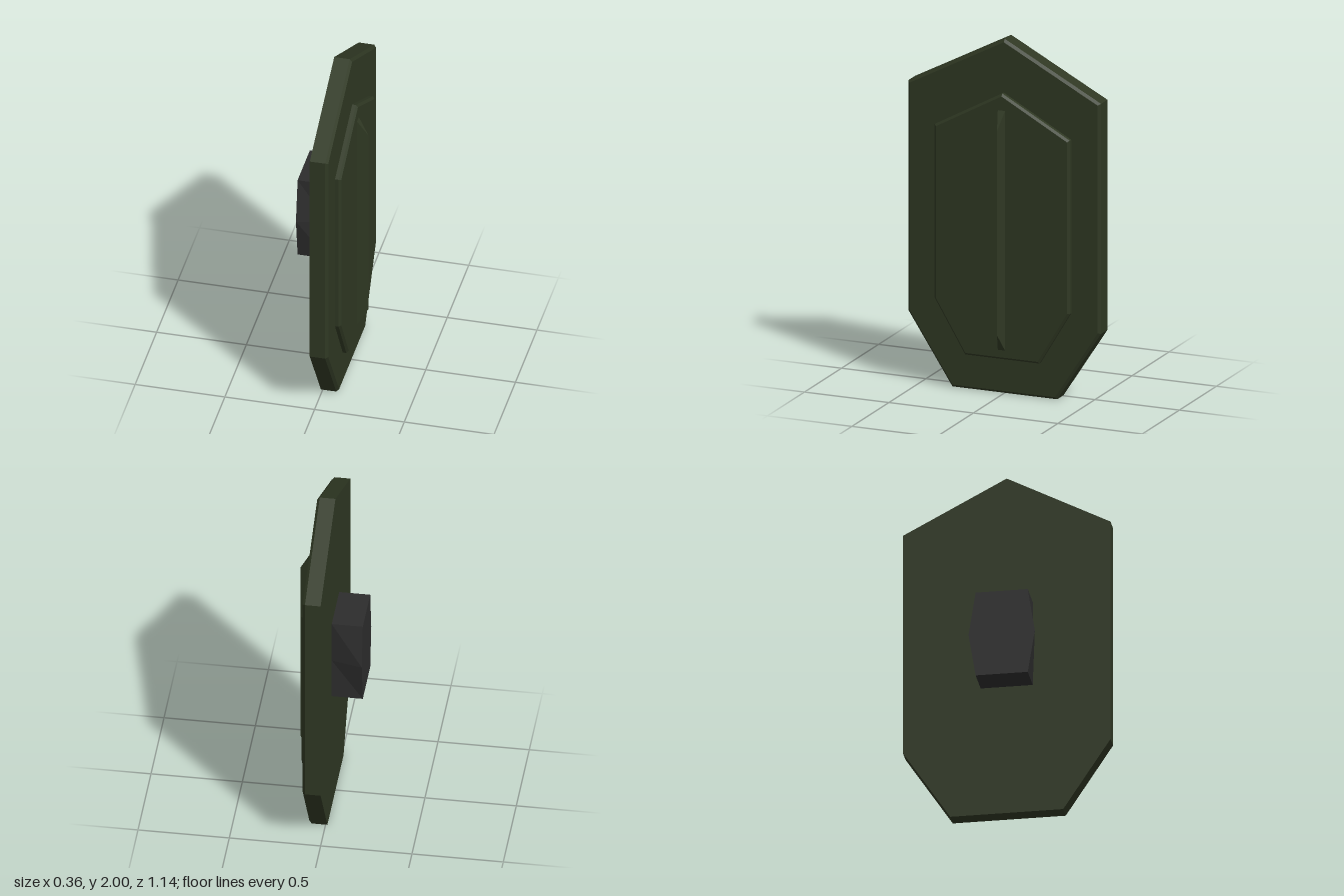
import * as THREE from 'three';

const green = new THREE.MeshStandardMaterial({ color: 0x2f3823 });
green.name = 'dark olive';
const grey = new THREE.MeshStandardMaterial({ color: 0x2d2d2d });
grey.name = 'charcoal';

// Flat-faced loft through convex counter-clockwise loops [u, y], each at a depth; depth becomes +x.
function loft(loops, depths) {
  const pos = [];
  const put = (k, i) => pos.push(...loops[k][i], depths[k]);
  const n = loops[0].length, last = loops.length - 1;
  for (let k = 0; k < last; k++) {
    for (let i = 0; i < n; i++) {
      const j = (i + 1) % n;
      put(k, i); put(k, j); put(k + 1, j);
      put(k, i); put(k + 1, j); put(k + 1, i);
    }
  }
  for (let i = 1; i < n - 1; i++) {
    put(last, 0); put(last, i); put(last, i + 1);
    put(0, 0); put(0, i + 1); put(0, i);
  }
  const g = new THREE.BufferGeometry();
  g.setAttribute('position', new THREE.Float32BufferAttribute(pos, 3));
  g.computeVertexNormals();
  return g.rotateY(Math.PI / 2);
}

// Mirrors a half outline, listed bottom to top, into a closed loop.
function mirrored(half) {
  const other = half.filter(p => p[0] > 0).reverse().map(([u, y]) => [-u, y]);
  return [...half, ...other];
}

// Moves every edge of a loop inwards by d.
function inset(loop, d) {
  const n = loop.length;
  const normal = (a, b) => new THREE.Vector2(a[1] - b[1], b[0] - a[0]).normalize();
  return loop.map((p, i) => {
    const a = normal(loop[(i + n - 1) % n], p), b = normal(p, loop[(i + 1) % n]);
    const s = d / (1 + a.dot(b));
    return [p[0] + (a.x + b.x) * s, p[1] + (a.y + b.y) * s];
  });
}

// Plate with a chamfer around its outer face.
function plate(half, from, to, chamfer) {
  const loop = mirrored(half);
  return loft([loop, loop, inset(loop, chamfer)], [from, to - chamfer, to]);
}

export function createModel() {
  const group = new THREE.Group();
  group.name = 'shield';
  const add = (name, geometry, material) => {
    const mesh = new THREE.Mesh(geometry, material);
    mesh.name = name;
    group.add(mesh);
  };

  add('shieldPlate', plate([[0.31, 0], [0.57, 0.4], [0.57, 1.7], [0, 2]], -0.01, 0.09, 0.014), green);
  add('raisedPanel', plate([[0.22, 0.2], [0.4, 0.5], [0.4, 1.48], [0, 1.7]], 0.09, 0.122, 0.012), green);

  // Sharp central ridge with sloping ends
  add('centreRidge', loft([
    mirrored([[0.022, 0.25], [0.022, 1.61]]),
    mirrored([[0.0005, 0.35], [0.0005, 1.51]]),
  ], [0.12, 0.18]), green);

  // Grip block, flaring outwards at mid height
  add('gripBlock', loft([
    mirrored([[0.143, 0.755], [0.182, 1], [0.143, 1.25]]),
    mirrored([[0.143, 0.755], [0.143, 1], [0.143, 1.25]]),
  ], [-0.18, -0.01]), grey);

  return group;
}
